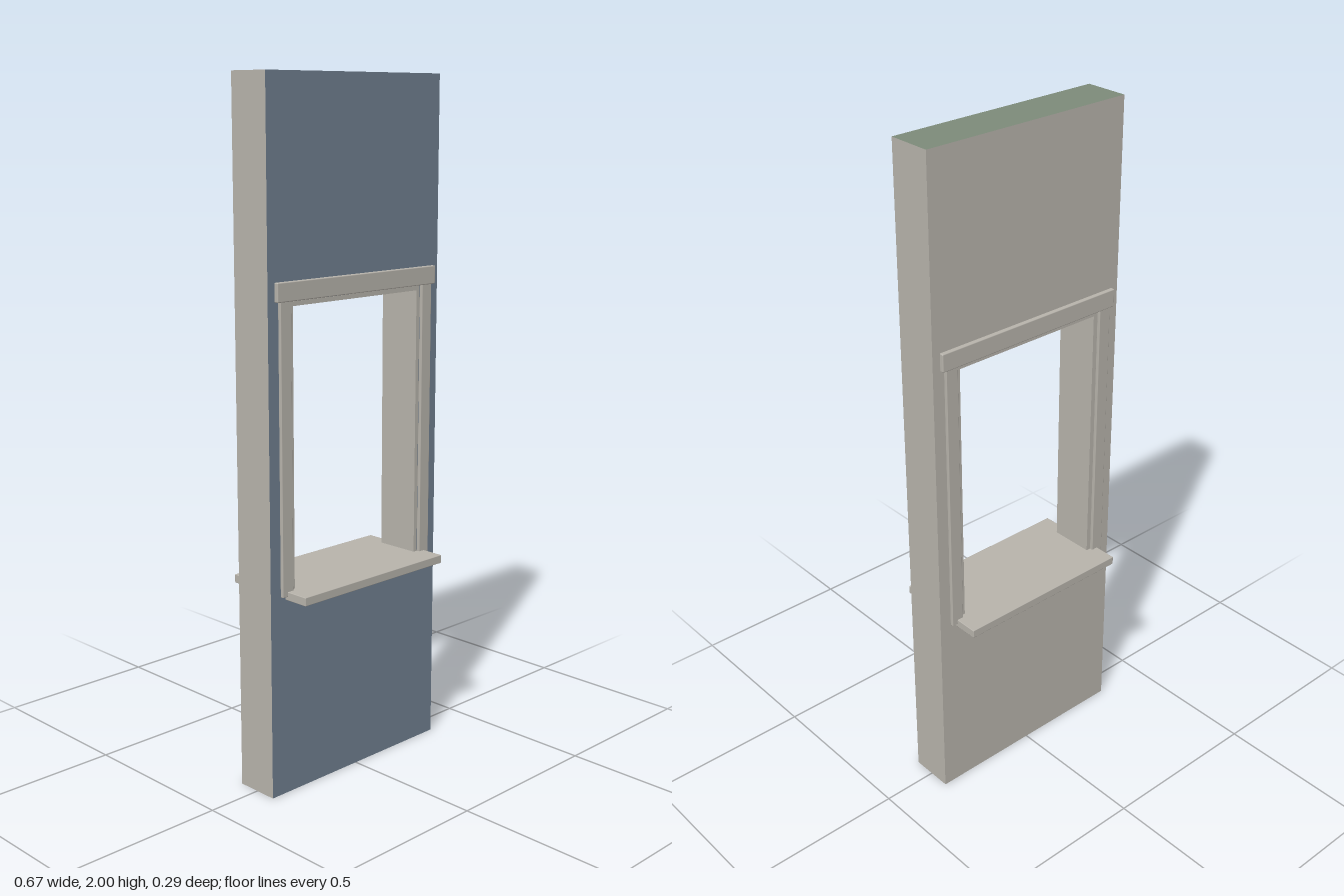
import * as THREE from 'three';
import { RoundedBoxGeometry } from 'three/addons/geometries/RoundedBoxGeometry.js';

const W = 0.333, H = 2, D = 0.066; // wall half width, height, half depth
const HOLE = 0.257, TOP = 1.403, BOTTOM = 0.585; // rough opening
const LINER = 0.013;

export function createModel() {
  const make = (name, color) => {
    const m = new THREE.MeshStandardMaterial({ color });
    m.name = name;
    return m;
  };
  const grey = make('warm grey', 0xb7b3ab);
  const blue = make('slate blue', 0x708090);
  const green = make('sage green', 0x7d8b7a);

  const group = new THREE.Group();
  group.name = 'windowWall';

  // Wall panel with a rectangular opening
  const shape = new THREE.Shape();
  shape.moveTo(-W, 0).lineTo(W, 0).lineTo(W, H).lineTo(-W, H).closePath();
  const hole = new THREE.Path();
  hole.moveTo(-HOLE, BOTTOM).lineTo(-HOLE, TOP).lineTo(HOLE, TOP).lineTo(HOLE, BOTTOM).closePath();
  shape.holes.push(hole);
  const wallGeo = new THREE.ExtrudeGeometry(shape, { depth: 2 * D, bevelEnabled: false });
  wallGeo.translate(0, 0, -D);

  // Front face blue, top edge green, everything else grey
  wallGeo.clearGroups();
  const p = wallGeo.attributes.position, n = wallGeo.attributes.normal;
  for (let i = 0; i < p.count; i += 3) {
    let slot = 0;
    if (n.getZ(i) > 0.9) slot = 1;
    else if (n.getY(i) > 0.9 && p.getY(i) > H - 0.01) slot = 2;
    wallGeo.addGroup(i, 3, slot);
  }
  const wall = new THREE.Mesh(wallGeo, [grey, blue, green]);
  wall.name = 'wall';
  group.add(wall);

  // Box given by its limits, with optional softened edges
  const box = (name, x0, x1, y0, y1, z0, z1, r = 0) => {
    const size = [x1 - x0, y1 - y0, z1 - z0];
    const geo = r ? new RoundedBoxGeometry(...size, 2, r) : new THREE.BoxGeometry(...size);
    const mesh = new THREE.Mesh(geo, grey);
    mesh.name = name;
    mesh.position.set((x0 + x1) / 2, (y0 + y1) / 2, (z0 + z1) / 2);
    group.add(mesh);
  };

  // Frame lining the opening
  const inner = HOLE - LINER, lz = D + 0.001;
  box('leftJamb', inner, HOLE, BOTTOM, TOP, -lz, lz);
  box('rightJamb', -HOLE, -inner, BOTTOM, TOP, -lz, lz);
  box('headJamb', -inner, inner, TOP - LINER, TOP, -lz, lz);

  // Sill running through the wall and out on both sides
  box('sill', -0.279, 0.279, 0.577, 0.602, -0.147, 0.147, 0.002);

  // Casing on the front and the back
  for (const [side, s] of [['front', 1], ['back', -1]]) {
    const z = (a, b) => (s > 0 ? [a, b] : [-b, -a]);
    box(side + 'LeftCasing', 0.258, 0.297, 0.588, 1.41, ...z(D, 0.077), 0.002);
    box(side + 'RightCasing', -0.297, -0.258, 0.588, 1.41, ...z(D, 0.077), 0.002);
    box(side + 'HeadCasing', -0.31, 0.31, 1.405, 1.458, ...z(D, 0.08), 0.003);
  }
  return group;
}
